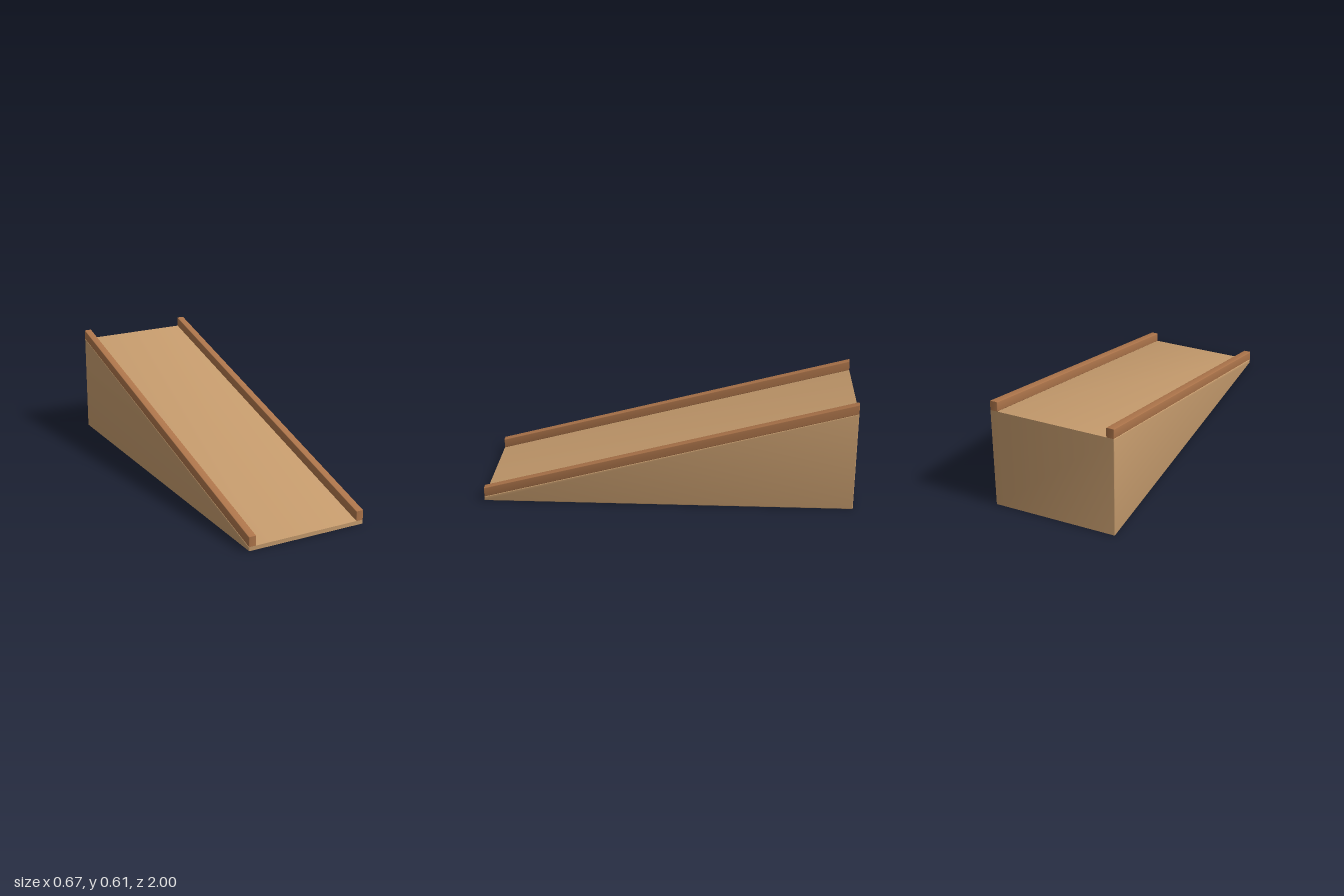
import * as THREE from 'three';
import { toCreasedNormals } from 'three/addons/utils/BufferGeometryUtils.js';

const HALF_LENGTH = 1, HALF_WIDTH = 0.335;
const FRONT_Y = 0.022, BACK_Y = 0.557;   // deck height at each end
const RAIL_WIDTH = 0.042, RAIL_HEIGHT = 0.053;
const BEVEL = 0.004;

// Side profile with upright ends, given as [z, y] corners, extruded across x
function slab(corners, width) {
  const shape = new THREE.Shape(corners.map(([z, y]) => new THREE.Vector2(-z, y)));
  const geometry = new THREE.ExtrudeGeometry(shape, {
    depth: width - 2 * BEVEL,
    bevelSize: BEVEL,
    bevelThickness: BEVEL,
    bevelOffset: -BEVEL,
    bevelSegments: 3,
  });
  geometry.translate(0, 0, BEVEL - width / 2);
  geometry.rotateY(Math.PI / 2);
  return toCreasedNormals(geometry, 0.6);
}

export function createModel() {
  const paleWood = new THREE.MeshStandardMaterial({ color: 0xc49a6c });
  paleWood.name = 'pale wood';
  const brownWood = new THREE.MeshStandardMaterial({ color: 0xac744a });
  brownWood.name = 'brown wood';

  const ramp = new THREE.Group();
  ramp.name = 'ramp';

  // Solid wedge
  const wedge = new THREE.Mesh(slab([
    [HALF_LENGTH, 0], [-HALF_LENGTH, 0],
    [-HALF_LENGTH, BACK_Y], [HALF_LENGTH, FRONT_Y],
  ], 2 * HALF_WIDTH), paleWood);
  wedge.name = 'wedge';
  ramp.add(wedge);

  // Side rails following the slope
  const railGeometry = slab([
    [HALF_LENGTH, FRONT_Y], [-HALF_LENGTH, BACK_Y],
    [-HALF_LENGTH, BACK_Y + RAIL_HEIGHT], [HALF_LENGTH, FRONT_Y + RAIL_HEIGHT],
  ], RAIL_WIDTH);
  for (const [name, side] of [['leftRail', 1], ['rightRail', -1]]) {
    const rail = new THREE.Mesh(railGeometry, brownWood);
    rail.name = name;
    rail.position.x = side * (HALF_WIDTH - RAIL_WIDTH / 2);
    ramp.add(rail);
  }
  return ramp;
}
